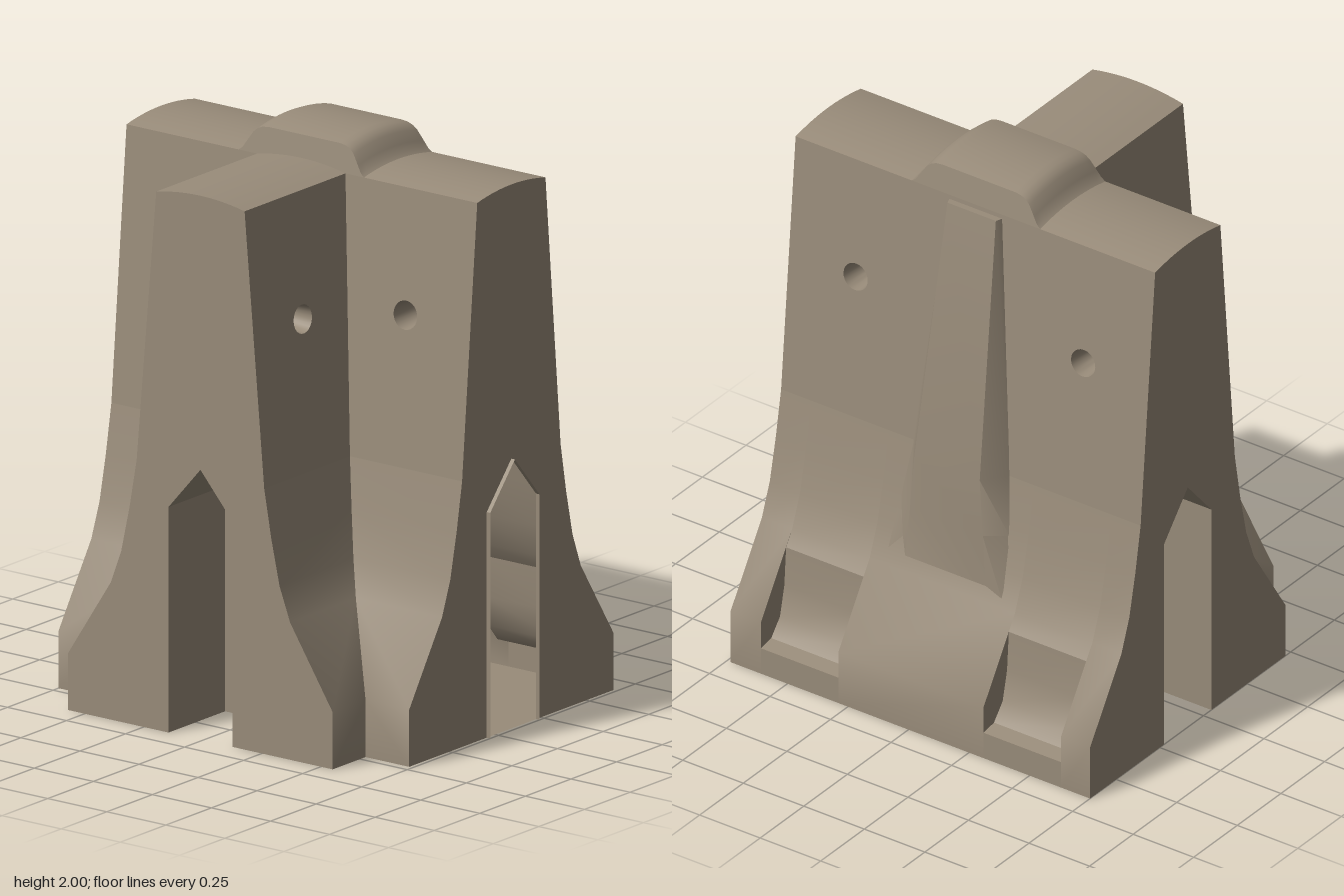
import * as THREE from 'three';
import { toCreasedNormals } from 'three/addons/utils/BufferGeometryUtils.js';

const CX = -0.01, CZ = -0.09;            // centre lines of the stem and the bar
const LEFT = 0.735, RIGHT = -0.75, FRONT = 0.65;
const TOP = 1.885, HT = 0.187, CROWN = 0.02;

// half thickness and height of the flared barrier section
const FLARE = [[0.56, 0], [0.56, 0.2], [0.38, 0.48], [0.335, 0.6], [0.3, 0.76], [0.27, 0.93]];
const PROFILE = [...FLARE, [HT, TOP]];
const SLOT = [[-0.135, 0], [-0.135, 0.79], [0, 0.945], [0.135, 0.79], [0.135, 0]];
const ARC = Array.from({ length: 13 }, (_, i) => 1 - i / 6);   // +1 .. -1 across the crown

const halfAt = (y) => {
  let i = 1;
  while (i < PROFILE.length - 1 && PROFILE[i][1] < y) i++;
  const [h0, y0] = PROFILE[i - 1], [h1, y1] = PROFILE[i];
  return h0 + (h1 - h0) * (y - y0) / (y1 - y0);
};

export function createModel() {
  const model = new THREE.Group();
  model.name = 'concreteBarrier';
  const concrete = new THREE.MeshStandardMaterial({ color: 0x998c7a, side: THREE.DoubleSide });
  concrete.name = 'concrete';

  const add = (name, geometry) => {
    const mesh = new THREE.Mesh(geometry, concrete);
    mesh.name = name;
    model.add(mesh);
  };

  // surface through rows of points
  const grid = (name, rows) => {
    const n = rows[0].length, index = [];
    for (let r = 0; r < rows.length - 1; r++) {
      for (let c = 0; c < n - 1; c++) {
        const a = r * n + c;
        index.push(a, a + 1, a + n, a + 1, a + n + 1, a + n);
      }
    }
    const g = new THREE.BufferGeometry();
    g.setAttribute('position', new THREE.Float32BufferAttribute(rows.flat(2), 3));
    g.setIndex(index);
    add(name, toCreasedNormals(g, 0.62));
  };

  // flat outline, optionally with round holes, moved into place by a rule
  const sheet = (name, points, place, holes = []) => {
    const shape = new THREE.Shape(points.map(([u, v]) => new THREE.Vector2(u, v)));
    for (const [u, v, r] of holes) shape.holes.push(new THREE.Path().absarc(u, v, r, 0, Math.PI * 2, true));
    const g = new THREE.ShapeGeometry(shape, 12);
    const p = g.attributes.position;
    for (let i = 0; i < p.count; i++) p.setXYZ(i, ...place(p.getX(i), p.getY(i)));
    g.computeVertexNormals();
    add(name, g);
  };

  // straight upper wall with tapered lifting holes
  const upperWall = (name, place, u0, u1, holes) => {
    sheet(name, [[u0(0.27), 0.93], [u1(0.27), 0.93], [u1(HT), TOP], [u0(HT), TOP]],
      (u, y) => place(u, halfAt(y), y), holes.map((u) => [u, 1.45, 0.05]));
    for (const u of holes) {
      const ring = (r, depth) => Array.from({ length: 25 }, (_, i) => {
        const a = i / 24 * Math.PI * 2, y = 1.45 + r * Math.sin(a);
        return place(u + r * Math.cos(a), halfAt(y) - depth, y);
      });
      grid('liftingHole', [ring(0.05, 0), ring(0.04, 0.12), ring(0.001, 0.13)]);
    }
  };
  const lowerWall = (name, place, u0, u1, profile = FLARE) =>
    grid(name, profile.map(([h, y]) => [place(u0(h), h, y), place(u1(h), h, y)]));

  // front walls of the bar and side walls of the stem, mitred where they meet
  for (const s of [1, -1]) {
    const front = (u, h, y) => [u, y, CZ + h];
    const inner = (h) => CX + s * h, outer = () => (s > 0 ? LEFT : RIGHT);
    lowerWall('barFrontFoot', front, inner, outer);
    upperWall('barFrontWall', front, inner, outer, [CX + s * 0.47]);
    const side = (u, h, y) => [CX + s * h, y, u];
    lowerWall('stemFoot', side, (h) => CZ + h, () => FRONT);
    upperWall('stemWall', side, (h) => CZ + h, () => FRONT, [0.38]);
  }

  // back wall, with two scooped pockets in its foot
  const back = (u, h, y) => [u, y, CZ - h];
  const SCOOP = [[0.56, 0.1], [0.5, 0.11], [0.45, 0.17], [0.425, 0.28], [0.415, 0.425]];
  const xs = [RIGHT, -0.63, -0.31, 0.29, 0.61, LEFT];
  for (let i = 0; i < 5; i++) {
    const u0 = () => xs[i], u1 = () => xs[i + 1];
    if (i % 2 === 0) {
      lowerWall('barBackFoot', back, u0, u1);
      continue;
    }
    lowerWall('pocketSill', back, u0, u1, [[0.56, 0], SCOOP[0]]);
    lowerWall('pocketScoop', back, u0, u1, SCOOP);
    lowerWall('barBackFoot', back, u0, u1, [SCOOP[4], ...FLARE.slice(2)]);
    for (const x of [xs[i], xs[i + 1]])
      sheet('pocketSide', [...SCOOP, [0.56, 0.2]], (h, y) => back(x, h, y));
  }
  upperWall('barBackWall', back, () => RIGHT, () => LEFT, [CX - 0.47, CX + 0.47]);

  // tapering rib on the back: height, base half width, face half width, face z
  const rib = [[1.87, 0.11, 0.1, -0.302], [0.93, 0.2, 0.135, -0.443],
    [0.72, 0.225, 0.15, -0.447], [0.5, 0.24, 0.17, -0.452]].map(([y, w0, w1, z]) => {
    const zs = CZ - halfAt(y) + 0.003;
    return [[CX - w0, y, zs], [CX - w1, y, z], [CX + w1, y, z], [CX + w0, y, zs]];
  });
  grid('backRib', rib);
  grid('backRibTop', [[rib[0][0], rib[0][3]], [rib[0][1], rib[0][2]]]);

  // notched ends
  const end = [...SLOT, ...PROFILE,
    ...ARC.slice(1, -1).map((t) => [HT * t, TOP + CROWN * (1 - t * t)]),
    ...[...PROFILE].reverse().map(([h, y]) => [-h, y])];
  sheet('stemEnd', end, (u, y) => [CX + u, y, FRONT]);
  sheet('barRightEnd', end, (u, y) => [RIGHT, y, CZ + u]);
  sheet('barLeftEnd', end, (u, y) => [LEFT, y, CZ + u]);

  // key slots, and the thin lip round the opening on the left end
  const slot = (name, place, a, b) => grid(name, SLOT.map(([u, y]) => [place(u, y, a), place(u, y, b)]));
  const alongZ = (u, y, d) => [CX + u, y, d], alongX = (u, y, d) => [d, y, CZ + u];
  slot('stemSlot', alongZ, FRONT, 0.34);
  sheet('stemSlotBack', SLOT, (u, y) => alongZ(u, y, 0.34));
  slot('rightSlot', alongX, RIGHT, -0.43);
  sheet('rightSlotBack', SLOT, (u, y) => alongX(u, y, -0.43));
  slot('leftOpeningLip', alongX, LEFT, 0.75);

  // base
  sheet('base', [[LEFT, -0.65], [LEFT, 0.47], [0.55, 0.47], [0.55, FRONT], [0.125, FRONT], [0.125, 0.34],
    [-0.145, 0.34], [-0.145, FRONT], [-0.57, FRONT], [-0.57, 0.47], [RIGHT, 0.47], [RIGHT, 0.045],
    [-0.43, 0.045], [-0.43, -0.225], [RIGHT, -0.225], [RIGHT, -0.65]], (x, z) => [x, 0, z]);

  // crowned tops, with the raised hump in the middle of the bar
  const crown = (t) => TOP + CROWN * (1 - t * t);
  grid('stemTop', [CZ + HT, FRONT].map((z) => ARC.map((t) => [CX + HT * t, crown(t), z])));
  const hump = [[0.265, 0], [0.25, 0.012], [0.235, 0.035], [0.212, 0.07], [0.195, 0.085], [0.175, 0.093], [0.15, 0.096]];
  const columns = [[RIGHT, 0], ...hump.map(([x, d]) => [CX - x, d]),
    ...[...hump].reverse().map(([x, d]) => [CX + x, d]), [LEFT, 0]];
  const depth = (d) => HT - 0.17 * d;
  grid('barTop', columns.map(([x, d]) => ARC.map((t) => [x, crown(t) + d, CZ + depth(d) * t])));
  for (const s of [1, -1])
    grid('humpFace', columns.slice(1, -1).map(([x, d]) =>
      [[x, TOP, CZ + s * HT], [x, TOP + d, CZ + s * depth(d)]]));

  return model;
}
